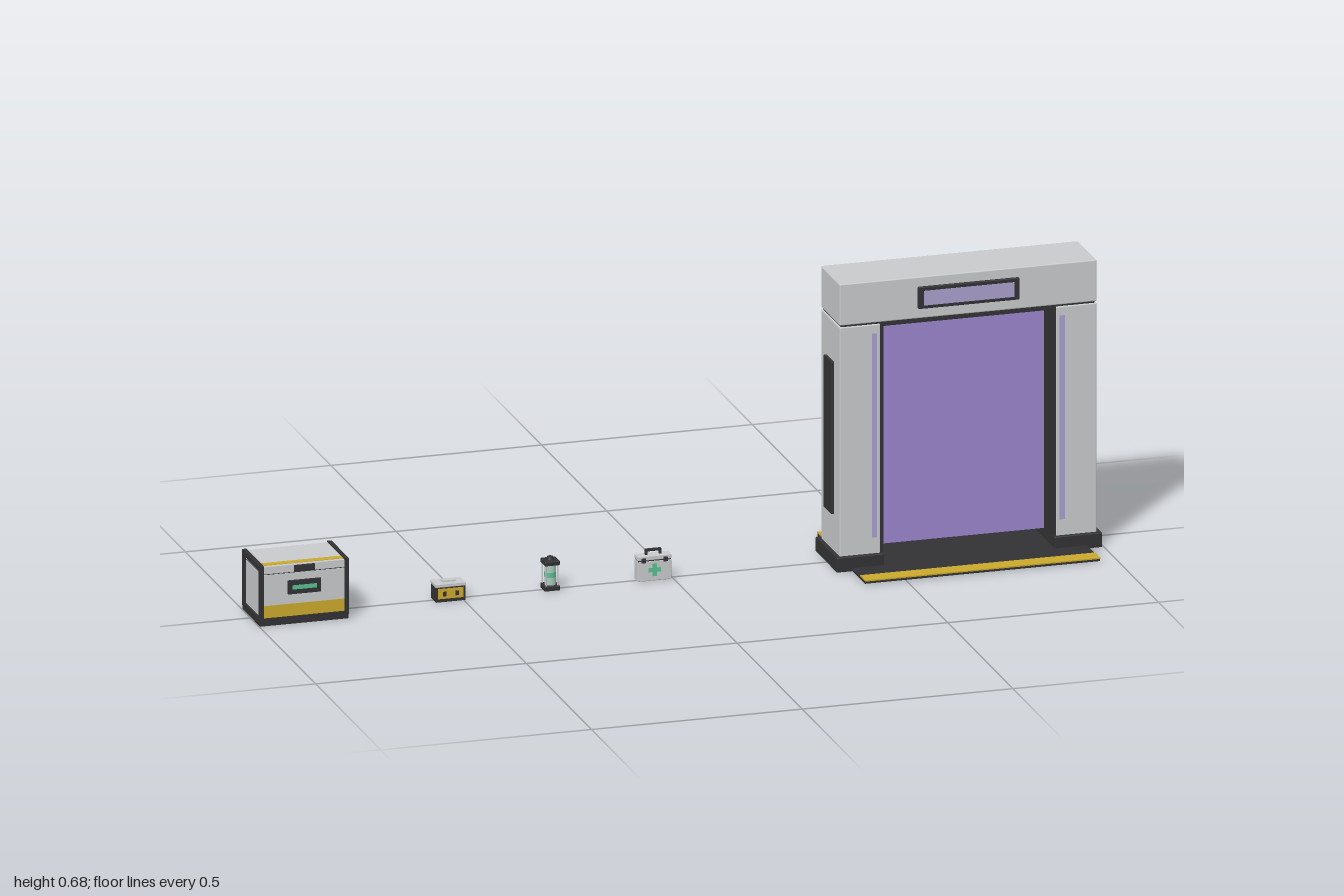
import * as THREE from 'three';
import { RoundedBoxGeometry } from 'three/addons/geometries/RoundedBoxGeometry.js';

const mat = (name, color) => {
  const m = new THREE.MeshStandardMaterial({ color });
  m.name = name;
  return m;
};

export function createModel() {
  const grey = mat('light grey', 0xc8c9cb);
  const dark = mat('charcoal', 0x323234);
  const yellow = mat('hazard yellow', 0xc9a82c);
  const purple = mat('energy purple', 0x9a84cc);
  const lilac = mat('soft lilac', 0xaaa0cc);
  const green = mat('signal green', 0x58c090);
  const glass = mat('pale green glass', 0xa9c9bc);

  const root = new THREE.Group();
  const section = (name, x) => {
    const g = new THREE.Group();
    g.name = name;
    g.position.x = x;
    root.add(g);
    return g;
  };
  const put = (g, name, geo, m, x, y, z) => {
    const mesh = new THREE.Mesh(geo, m);
    mesh.name = name;
    mesh.position.set(x, y, z);
    g.add(mesh);
    return mesh;
  };
  // Box from its limits; r > 0 softens the edges
  const box = (g, name, m, [x0, x1], [y0, y1], [z0, z1], r = 0) => {
    const s = [x1 - x0, y1 - y0, z1 - z0];
    const geo = r ? new RoundedBoxGeometry(...s, 2, r) : new THREE.BoxGeometry(...s);
    return put(g, name, geo, m, (x0 + x1) / 2, (y0 + y1) / 2, (z0 + z1) / 2);
  };
  // Limits for a span centred on c
  const mid = (c, half) => [c - half, c + half];

  // ---- Gate ----
  const gate = section('gate', 0.681);
  box(gate, 'threshold', dark, mid(0, 0.279), [0.002, 0.008], mid(0, 0.182));
  box(gate, 'lintel', grey, mid(0, 0.305), [0.585, 0.684], mid(0, 0.072), 0.003);
  box(gate, 'lintelSeam', dark, mid(0, 0.301), [0.579, 0.587], mid(0, 0.069));
  box(gate, 'headLining', dark, mid(0, 0.208), [0.575, 0.582], mid(0, 0.071));
  box(gate, 'energyField', purple, mid(0, 0.202), [0.032, 0.576], mid(0, 0.002));
  for (const s of [-1, 1]) {
    box(gate, 'pillar', grey, mid(s * 0.2565, 0.0485), [0.03, 0.581], mid(0, 0.072), 0.003);
    box(gate, 'foot', dark, mid(s * 0.2585, 0.0565), [0, 0.035], mid(0, 0.082), 0.002);
    box(gate, 'jambLining', dark, mid(s * 0.205, 0.004), [0.03, 0.58], mid(0, 0.071));
    box(gate, 'sidePanel', dark, mid(s * 0.307, 0.005), [0.123, 0.486], mid(0, 0.029), 0.001);
    // Front and back share these details
    box(gate, 'hazardStrip', yellow, mid(0, 0.279), [0.008, 0.011], mid(s * 0.165, 0.02));
    box(gate, 'signFrame', dark, mid(0, 0.12), [0.609, 0.661], mid(s * 0.074, 0.0045), 0.002);
    box(gate, 'signScreen', lilac, mid(0, 0.107), [0.617, 0.652], mid(s * 0.0785, 0.0007));
    for (const t of [-1, 1])
      box(gate, 'lightStrip', lilac, mid(t * 0.223, 0.006), [0.073, 0.56], mid(s * 0.072, 0.0015));
  }

  // ---- Supply crate ----
  const crate = section('crate', -0.893);
  box(crate, 'crateBase', dark, mid(0, 0.105), [0, 0.018], mid(0, 0.068));
  box(crate, 'crateBody', grey, mid(0, 0.1), [0.018, 0.12], mid(0, 0.064));
  box(crate, 'crateSeam', dark, mid(0, 0.099), [0.12, 0.123], mid(0, 0.062));
  box(crate, 'crateLid', grey, mid(0, 0.1), [0.123, 0.14], mid(0, 0.066));
  box(crate, 'lidStripe', yellow, mid(0, 0.097), [0.14, 0.141], mid(0.047, 0.009));
  for (const s of [-1, 1]) {
    box(crate, 'crateStripe', yellow, mid(0, 0.097), [0.018, 0.047], mid(s * 0.0645, 0.001));
    box(crate, 'lidEndTrim', dark, mid(s * 0.101, 0.005), [0.131, 0.143], mid(0, 0.068));
    for (const t of [-1, 1])
      box(crate, 'cornerPost', dark, mid(s * 0.101, 0.005), [0.01, 0.142], mid(t * 0.063, 0.006));
  }
  box(crate, 'latch', dark, mid(0, 0.024), [0.124, 0.139], mid(0.068, 0.005));
  box(crate, 'displayFrame', dark, mid(0, 0.039), [0.071, 0.103], mid(0.066, 0.004));
  box(crate, 'displayScreen', green, mid(0, 0.029), [0.082, 0.092], mid(0.0702, 0.0006));

  // ---- Power cell box ----
  const cell = section('powerCell', -0.531);
  box(cell, 'cellBody', dark, mid(0, 0.035), [0, 0.036], mid(0, 0.02));
  box(cell, 'cellLid', grey, mid(0, 0.036), [0.035, 0.043], mid(0, 0.021), 0.001);
  box(cell, 'cellTop', grey, mid(0, 0.016), [0.043, 0.047], mid(0, 0.008));
  for (const s of [-1, 1]) {
    box(cell, 'cellLabel', yellow, mid(0, 0.03), [0.008, 0.032], mid(s * 0.0205, 0.001));
    for (const x of [-0.015, 0.015])
      box(cell, 'labelMark', dark, mid(x, 0.004), [0.014, 0.025], mid(s * 0.0215, 0.0005));
  }

  // ---- Canister ----
  const can = section('canister', -0.289);
  box(can, 'canisterBase', dark, mid(0, 0.018), [0, 0.012], mid(0, 0.018), 0.002);
  box(can, 'canisterCap', dark, mid(0, 0.018), [0.06, 0.071], mid(0, 0.018), 0.002);
  put(can, 'capKnob', new THREE.CylinderGeometry(0.007, 0.009, 0.007, 16), dark, 0, 0.0745, 0);
  put(can, 'glassTube', new THREE.CylinderGeometry(0.013, 0.013, 0.05, 24), glass, 0, 0.036, 0);
  put(can, 'greenBand', new THREE.CylinderGeometry(0.0135, 0.0135, 0.012, 24), green, 0, 0.036, 0);
  for (const x of [-1, 1]) for (const z of [-1, 1])
    put(can, 'guardRod', new THREE.CylinderGeometry(0.0018, 0.0018, 0.05, 8), grey, x * 0.014, 0.036, z * 0.014);

  // ---- Medical case ----
  const kit = section('medicalCase', -0.045);
  box(kit, 'caseBody', grey, mid(0, 0.04), [0, 0.048], mid(0, 0.013), 0.002);
  box(kit, 'caseSeam', dark, mid(0, 0.039), [0.047, 0.05], mid(0, 0.0125));
  box(kit, 'caseLid', grey, mid(0, 0.04), [0.049, 0.06], mid(0, 0.013), 0.002);
  box(kit, 'handleGrip', dark, mid(0, 0.019), [0.068, 0.073], mid(0, 0.004));
  for (const s of [-1, 1]) {
    box(kit, 'handlePost', dark, mid(s * 0.0165, 0.0025), [0.058, 0.07], mid(0, 0.004));
    box(kit, 'caseLatch', dark, mid(s * 0.026, 0.005), [0.044, 0.055], mid(0.013, 0.0015));
    box(kit, 'crossBar', green, mid(0, 0.015), [0.021, 0.031], mid(s * 0.013, 0.0008));
    box(kit, 'crossUpright', green, mid(0, 0.005), [0.011, 0.041], mid(s * 0.013, 0.0009));
  }

  return root;
}
